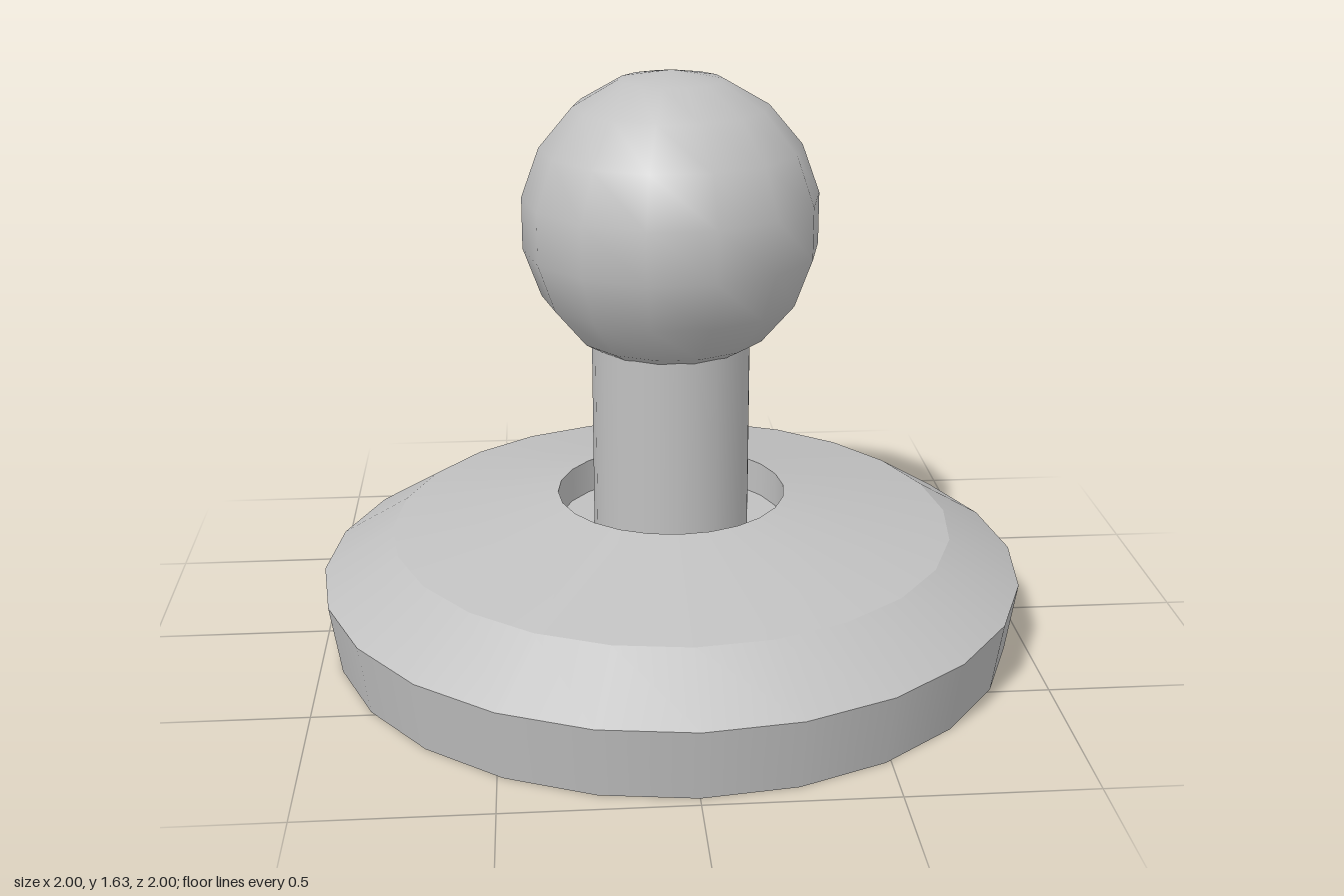
import * as THREE from 'three';
import { mergeGeometries } from 'three/addons/utils/BufferGeometryUtils.js';

const SIDES = 24;

// Revolves each profile segment on its own: smooth around, sharp between bands
function creasedLathe(profile) {
  const points = profile.map(([r, y]) => new THREE.Vector2(r, y));
  const bands = [];
  for (let i = 0; i < points.length - 1; i++) {
    bands.push(new THREE.LatheGeometry([points[i], points[i + 1]], SIDES));
  }
  return mergeGeometries(bands);
}

export function createModel() {
  const group = new THREE.Group();
  const grey = new THREE.MeshStandardMaterial({ color: 0xc0c0c0 });
  grey.name = 'grey metal';

  function add(name, geometry, y = 0) {
    const mesh = new THREE.Mesh(geometry, grey);
    mesh.name = name;
    mesh.position.y = y;
    group.add(mesh);
  }

  // Round foot: flared rim, bevel, shallow cone and a recess around the post
  add('base', creasedLathe([
    [0, 0], [0.97, 0], [1, 0.2], [0.8, 0.325], [0.325, 0.42], [0.325, 0.32], [0, 0.32],
  ]));

  // Post from the recess floor up into the ball
  add('post', new THREE.CylinderGeometry(0.222, 0.222, 0.6, SIDES, 1, true), 0.62);

  // Ball knob
  add('ball', new THREE.SphereGeometry(0.415, 14, 9), 1.215);

  return group;
}
